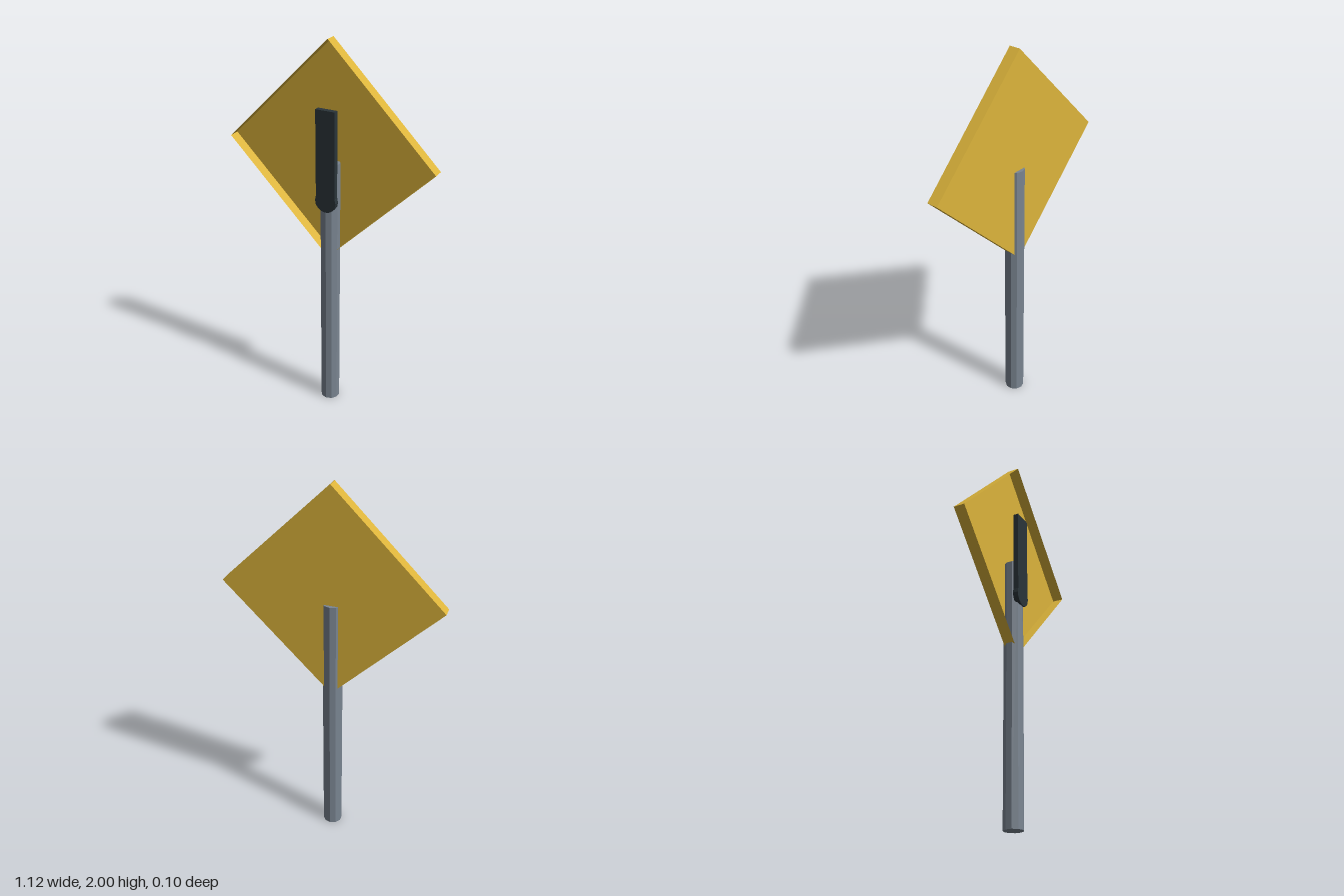
import * as THREE from 'three';

function material(name, color) {
  const m = new THREE.MeshStandardMaterial({ color, flatShading: true });
  m.name = name;
  return m;
}

export function createModel() {
  const steel = material('greySteel', 0x7a8591);
  const yellow = material('signYellow', 0xdcb43b);
  yellow.side = THREE.DoubleSide;
  const black = material('signBlack', 0x2a3439);

  const group = new THREE.Group();
  group.name = 'warningSign';
  const add = (name, geometry, mat, x, y, z) => {
    const mesh = new THREE.Mesh(geometry, mat);
    mesh.name = name;
    mesh.position.set(x, y, z);
    group.add(mesh);
    return mesh;
  };

  // Ten-sided pole, running up through the open panel
  add('pole', new THREE.CylinderGeometry(0.05, 0.05, 1.39, 10), steel, 0, 0.695, -0.0025);

  // Square tray stood on its corner: back and four rims, open at the front
  const side = 0.56 * Math.SQRT2;
  const tray = new THREE.BoxGeometry(side, side, 0.058);
  const faces = Array.from(tray.index.array);
  faces.splice(24, 6); // front face
  tray.setIndex(faces);
  tray.clearGroups();
  add('diamondPanel', tray, yellow, 0, 1.44, -0.004).rotation.z = Math.PI / 4;

  // Raised bar and round dot at the front
  add('markBar', new THREE.BoxGeometry(0.104, 0.468, 0.028), black, 0, 1.434, 0.038);
  add('markDot', new THREE.CylinderGeometry(0.057, 0.057, 0.028, 16), black, 0, 1.198, 0.038)
    .rotation.x = Math.PI / 2;

  return group;
}
